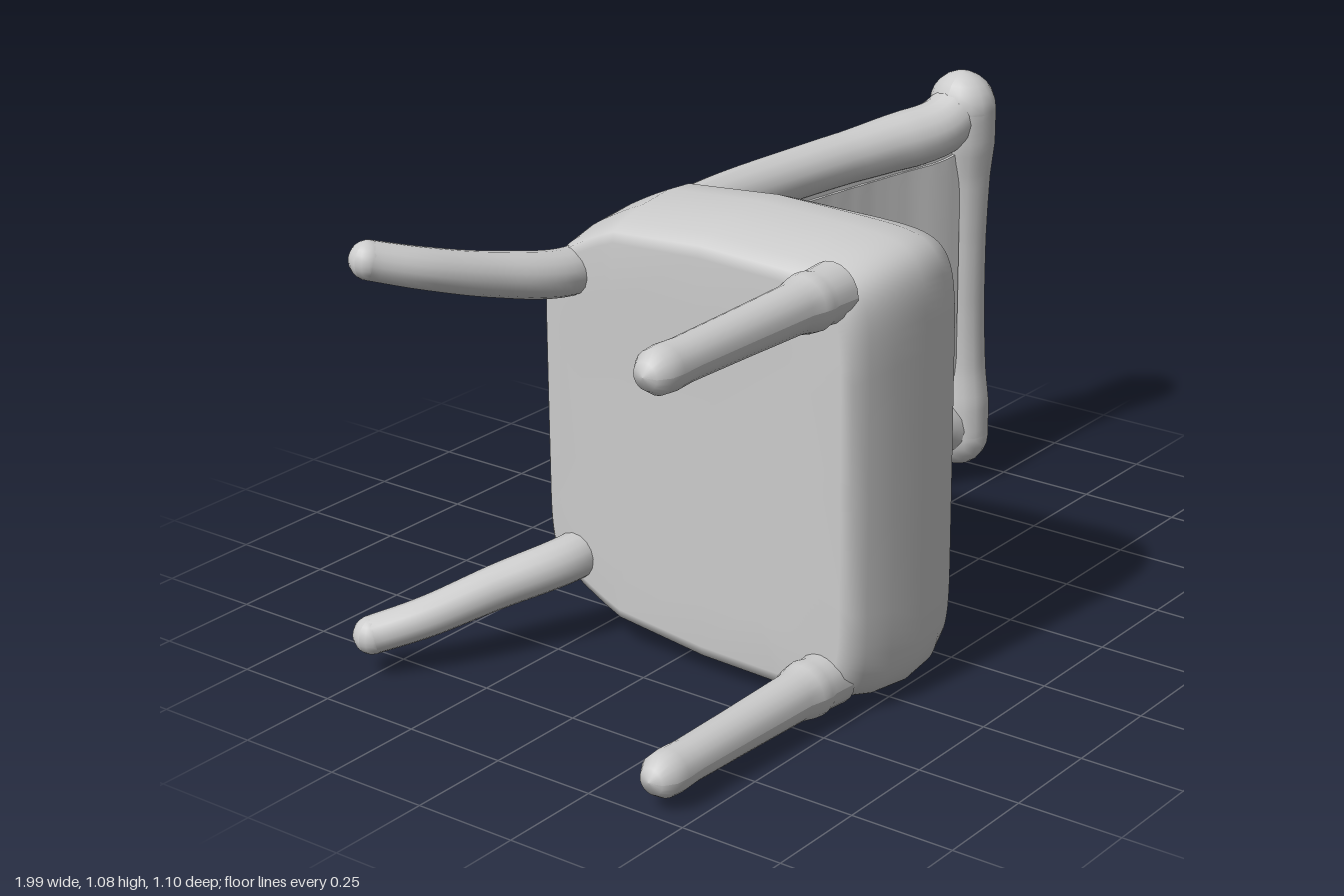
import * as THREE from 'three';

// A chair lying on its side: its "up" is +x, its front is +z, its width runs along y.
const V = (x, y, z) => new THREE.Vector3(x, y, z);
const material = new THREE.MeshStandardMaterial({ color: 0xcccccc, side: THREE.DoubleSide });

// Vertex rule helper
function warp(geo, rule) {
  const p = geo.attributes.position, v = V(0, 0, 0);
  for (let i = 0; i < p.count; i++) {
    v.fromBufferAttribute(p, i);
    rule(v, i);
    p.setXYZ(i, v.x, v.y, v.z);
  }
  return geo;
}

// Adds a mesh, raised to rest on the ground with the slight skew of the chair
function add(parent, geo, name) {
  warp(geo, v => { v.y += 0.556 + 0.015 * v.x - 0.03 * v.z; });
  geo.computeVertexNormals();
  const mesh = new THREE.Mesh(geo, material);
  mesh.name = name;
  parent.add(mesh);
}

// Tube along a spline with a radius that varies, closed by round ends; squash flattens it in x
function limb(parent, name, points, radii, segments = 48, squash = 1) {
  const curve = new THREE.CatmullRomCurve3(points);
  const sides = 16;
  const radiusAt = t => {
    const f = t * (radii.length - 1), i = Math.min(Math.floor(f), radii.length - 2);
    return THREE.MathUtils.lerp(radii[i], radii[i + 1], f - i);
  };
  const geo = new THREE.TubeGeometry(curve, segments, 1, sides);
  warp(geo, (v, i) => {
    const t = Math.floor(i / (sides + 1)) / segments;
    const c = curve.getPointAt(t);
    v.sub(c).multiplyScalar(radiusAt(t));
    v.x *= squash;
    v.add(c);
  });
  add(parent, geo, name);
  for (const t of [0, 1]) {
    const c = curve.getPointAt(t);
    const end = new THREE.SphereGeometry(radiusAt(t), 16, 12).scale(squash, 1, 1);
    add(parent, end.translate(c.x, c.y, c.z), name + 'End');
  }
}

// Seat outline: rounded rectangle, narrower at the back, where the wall stays nearly upright
function outline(angle, inset) {
  const power = s => Math.sign(s) * Math.abs(s) ** (2 / 9);
  const c = Math.cos(angle);
  const z = 0.1 + (0.45 - inset * (c < 0 ? 0.3 : 1)) * power(c);
  const taper = 1 - 0.2 * THREE.MathUtils.smoothstep(-z, 0.04, 0.36);
  return [(0.531 - inset) * power(Math.sin(angle)) * taper, z];
}

// Seat cushion: rings stacked along x, closed at both ends
function seatGeometry() {
  const rings = [[-0.415, 0.44], [-0.415, 0.2], [-0.418, 0.07], [-0.41, 0.045], [-0.37, 0.028], [-0.3, 0.01],
    [-0.2, 0], [-0.12, 0.006], [-0.06, 0.026], [-0.01, 0.06], [0.03, 0.1], [0.065, 0.155], [0.09, 0.23],
    [0.1, 0.33], [0.102, 0.44]];
  const n = 96, pos = [], index = [];
  for (const [x, inset] of rings) {
    for (let j = 0; j < n; j++) {
      const [y, z] = outline((j / n) * Math.PI * 2, inset);
      const lean = 0.11 * (z - 0.35) * THREE.MathUtils.smoothstep(x, -0.2, 0.08);
      pos.push(x + lean, y, z);
    }
  }
  for (let r = 0; r < rings.length - 1; r++) {
    for (let j = 0; j < n; j++) {
      const a = r * n + j, b = r * n + (j + 1) % n;
      index.push(a, a + n, b, b, a + n, b + n);
    }
  }
  const last = (rings.length - 1) * n;
  for (let j = 1; j < n - 1; j++) index.push(0, j, j + 1, last, last + j + 1, last + j);
  const geo = new THREE.BufferGeometry();
  geo.setAttribute('position', new THREE.Float32BufferAttribute(pos, 3));
  geo.setIndex(index);
  return geo;
}

// Side rail path, from the foot of the rear leg to the top of the back
const railPath = [
  V(-0.845, 0.45, -0.482), V(-0.75, 0.42, -0.41), V(-0.6, 0.378, -0.335), V(-0.42, 0.345, -0.265),
  V(-0.2, 0.345, -0.288), V(0, 0.34, -0.292), V(0.2, 0.343, -0.287), V(0.45, 0.352, -0.243),
  V(0.68, 0.368, -0.175), V(0.83, 0.392, -0.11), V(0.91, 0.435, -0.09),
];
const railSamples = new THREE.CatmullRomCurve3(railPath).getPoints(300);
const railAt = x => railSamples.find(p => p.x >= x) || railSamples[300];

// Slab between the rails that follows their curve; its rear face can bulge
function panel(parent, name, x0, x1, fill, thickness, offset, bulge = 0) {
  const geo = new THREE.BoxGeometry(x1 - x0, 2, thickness, 28, 16, 1);
  geo.translate((x0 + x1) / 2, 0, offset);
  warp(geo, v => {
    const r = railAt(v.x);
    if (v.z < offset) v.z -= bulge * (1 - v.y ** 4);
    v.y *= r.y * fill;
    v.z += r.z;
  });
  add(parent, geo, name);
}

export function createModel() {
  const chair = new THREE.Group();
  chair.name = 'chair';

  add(chair, seatGeometry(), 'seat');

  for (const s of [1, -1]) {
    const side = s > 0 ? 'upper' : 'lower';
    // Rear leg and back post in one sweep; the feet are slightly out of line
    const path = railPath.map(p => V(p.x, p.y * s, p.z + s * 0.05 * Math.max(0, -p.x - 0.42)));
    limb(chair, side + 'RearLegAndPost', path,
      [0.044, 0.048, 0.053, 0.056, 0.06, 0.062, 0.062, 0.062, 0.064, 0.072, 0.07], 80);

    // Turned front leg with a collar
    const profile = [[0, -1], [0.03, -0.992], [0.048, -0.965], [0.051, -0.93], [0.048, -0.88], [0.051, -0.7],
      [0.055, -0.52], [0.063, -0.485], [0.066, -0.46], [0.062, -0.44], [0.066, -0.38]]
      .map(([r, x]) => new THREE.Vector2(r, x));
    const leg = new THREE.LatheGeometry(profile, 20).rotateZ(-Math.PI / 2);
    leg.translate(0, 0.448 * s + 0.006, 0);
    warp(leg, v => { v.z += 0.429 + 0.03 * (v.x + 0.45); });
    add(chair, leg, side + 'FrontLeg');
  }

  // Top rail, oval in section with swollen ends
  limb(chair, 'topRail', [V(0.907, -0.435, -0.09), V(0.917, -0.25, -0.102), V(0.919, 0, -0.106),
    V(0.917, 0.25, -0.102), V(0.907, 0.435, -0.09)],
  [0.086, 0.088, 0.08, 0.077, 0.075, 0.075, 0.075, 0.077, 0.08, 0.088, 0.086], 48, 0.88);

  // Upholstered back, its raised field and the bar beside the slot
  panel(chair, 'backPanel', 0.11, 0.9, 1, 0.086, -0.012);
  panel(chair, 'backField', 0.27, 0.86, 0.82, 0.08, -0.002);
  limb(chair, 'backLowerBar', [V(0.147, -0.33, -0.294), V(0.147, 0, -0.298), V(0.147, 0.33, -0.294)], [0.045, 0.045]);

  // Padded cover behind the seat
  panel(chair, 'rearApron', -0.39, 0.075, 1, 0.115, 0, 0.013);

  // Crossed creases in the middle of the back
  for (const s of [1, -1]) {
    for (const shift of [-0.08, 0.08]) {
      const line = [-0.13, -0.04, 0.04, 0.13].map(d => {
        const x = 0.55 + d + shift;
        return V(x, s * (d - shift), railAt(x).z + 0.037);
      });
      limb(chair, 'backCrease', line, [0.005, 0.009, 0.005], 20);
    }
  }
  return chair;
}
